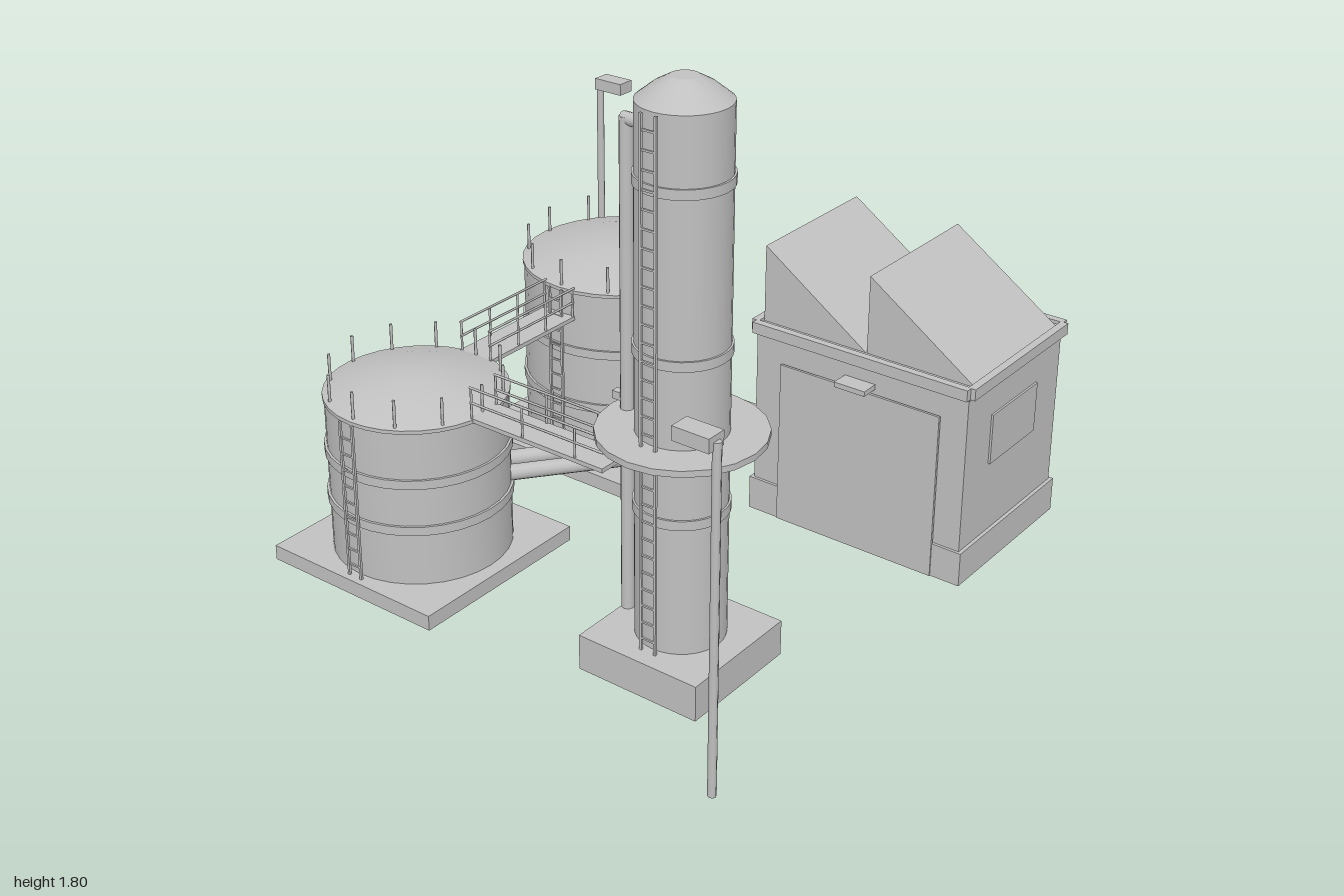
import * as THREE from 'three';
import { toCreasedNormals } from 'three/addons/utils/BufferGeometryUtils.js';

const concreteGrey = new THREE.MeshStandardMaterial({ color: 0xc0c0c0 });
concreteGrey.name = 'plantGrey';

function add(parent, name, geometry, x = 0, y = 0, z = 0) {
  const mesh = new THREE.Mesh(geometry, concreteGrey);
  mesh.name = name;
  mesh.position.set(x, y, z);
  parent.add(mesh);
  return mesh;
}

function group(parent, name, x = 0, y = 0, z = 0) {
  const g = new THREE.Group();
  g.name = name;
  g.position.set(x, y, z);
  parent.add(g);
  return g;
}

// Box given by its limits on each axis
function box(parent, name, x0, x1, y0, y1, z0, z1) {
  return add(parent, name, new THREE.BoxGeometry(x1 - x0, y1 - y0, z1 - z0),
    (x0 + x1) / 2, (y0 + y1) / 2, (z0 + z1) / 2);
}

// Round bar between two points
function bar(parent, name, a, b, r, sides = 8) {
  const from = new THREE.Vector3(...a), to = new THREE.Vector3(...b);
  const dir = to.clone().sub(from);
  const mesh = add(parent, name, new THREE.CylinderGeometry(r, r, dir.length(), sides));
  mesh.position.copy(from).add(to).multiplyScalar(0.5);
  mesh.quaternion.setFromUnitVectors(new THREE.Vector3(0, 1, 0), dir.normalize());
  return mesh;
}

function lathe(parent, name, points, sides) {
  const geo = new THREE.LatheGeometry(points.map(p => new THREE.Vector2(...p)), sides);
  return add(parent, name, toCreasedNormals(geo, 0.5));
}

function band(parent, r, y, h, sides) {
  add(parent, 'band', new THREE.CylinderGeometry(r, r, h, sides), 0, y, 0);
}

// Ladder on the +z side of a round vessel
function ladder(parent, z, y0, y1) {
  const g = group(parent, 'ladder', 0, 0, z);
  for (const s of [-1, 1]) box(g, 'ladderRail', s * 0.025 - 0.004, s * 0.025 + 0.004, y0, y1, -0.004, 0.004);
  for (let y = y0 + 0.04; y < y1; y += 0.055) box(g, 'rung', -0.025, 0.025, y - 0.003, y + 0.003, -0.003, 0.003);
}

// Storage tank on a square pad, with a shallow dome and a ring of posts
function tank(parent, name, x, z, r, top, padHalf, bands) {
  const g = group(parent, name, x, 0, z);
  box(g, 'pad', -padHalf, padHalf, 0, 0.05, -padHalf, padHalf);
  lathe(g, 'shell', [[r, 0.05], [r, top], [r * 0.62, top + 0.036], [r * 0.25, top + 0.057], [0, top + 0.06]], 32);
  for (const y of bands) band(g, r + 0.008, y, 0.03, 32);
  band(g, r + 0.005, top - 0.006, 0.012, 32);
  for (let i = 0; i < 12; i++) {
    const a = i * Math.PI / 6, pr = r - 0.012;
    bar(g, 'post', [pr * Math.cos(a), top - 0.01, pr * Math.sin(a)], [pr * Math.cos(a), top + 0.093, pr * Math.sin(a)], 0.005, 6);
  }
  ladder(g, r + 0.02, 0.05, top);
  return g;
}

// Walkway along local x, with rails on both sides
function walkway(parent, name, length, width, spacing) {
  const g = group(parent, name);
  const h = length / 2, w = width / 2;
  box(g, 'deck', -h, h, 0.572, 0.586, -w, w);
  for (const s of [-1, 1]) {
    const z = s * (w - 0.005);
    for (const y of [0.635, 0.685]) bar(g, 'handrail', [-h, y, z], [h, y, z], 0.004, 6);
    for (let x = -h + 0.005; x <= h; x += spacing) bar(g, 'railPost', [x, 0.58, z], [x, 0.685, z], 0.004, 6);
  }
  return g;
}

function column(parent) {
  const g = group(parent, 'column', 0.53, 0, 0.525);
  box(g, 'base', -0.21, 0.21, 0, 0.115, -0.21, 0.21);
  lathe(g, 'columnShell', [[0.135, 0.115], [0.135, 1.74], [0.085, 1.78], [0.04, 1.805], [0, 1.805]], 32);
  for (const y of [0.54, 1.03, 1.525]) band(g, 0.141, y, 0.03, 32);
  add(g, 'platform', toCreasedNormals(new THREE.CylinderGeometry(0.248, 0.248, 0.02, 20), 0.5), 0, 0.764, 0);
  ladder(g, 0.155, 0.115, 1.74);
  // Downpipe with outlet
  bar(g, 'downpipe', [-0.195, 0.115, 0], [-0.195, 1.65, 0], 0.02, 12);
  bar(g, 'outletPipe', [-0.205, 1.643, 0], [-0.12, 1.643, 0], 0.019, 12);
  box(g, 'valve', -0.24, -0.19, 0.795, 0.82, -0.012, 0.012);
}

function building(parent) {
  const g = group(parent, 'building', 0.57, 0, -0.625);
  box(g, 'plinth', -0.397, 0.397, 0, 0.115, -0.3, 0.3);
  box(g, 'walls', -0.385, 0.385, 0.115, 0.65, -0.29, 0.29);
  box(g, 'roofSlab', -0.39, 0.39, 0.64, 0.672, -0.295, 0.295);
  // Cornice strips
  for (const s of [-1, 1]) {
    const zc = s * 0.3, xc = s * 0.393;
    box(g, 'cornice', -0.39, 0.39, 0.645, 0.683, zc - 0.013, zc + 0.013);
    box(g, 'cornice', xc - 0.013, xc + 0.013, 0.645, 0.683, -0.292, 0.292);
  }
  // Sawtooth roof
  const tooth = new THREE.Shape([[0, 0], [0.385, 0], [0, 0.262]].map(p => new THREE.Vector2(...p)));
  const toothGeo = new THREE.ExtrudeGeometry(tooth, { depth: 0.523, bevelEnabled: false });
  for (const x of [-0.38, 0.005]) add(g, 'sawtoothRoof', toothGeo, x, 0.67, -0.262);
  // Door and its hood
  box(g, 'door', -0.285, 0.295, 0.0, 0.56, 0.295, 0.304);
  box(g, 'hood', -0.053, 0.058, 0.574, 0.591, 0.285, 0.352);
  // Windows
  for (const x of [-0.122, 0.122]) box(g, 'backWindow', x - 0.12, x + 0.12, 0.36, 0.53, -0.298, -0.289);
  for (const s of [-1, 1]) {
    const x = s * 0.388;
    box(g, 'sideWindow', x - 0.004, x + 0.004, 0.36, 0.53, -0.14, 0.14);
  }
}

// Pair of pipes running from the front tank to the building
function pipeRun(parent) {
  const g = group(parent, 'pipeRun');
  bar(g, 'pipe', [-0.36, 0.272, 0.3], [0.16, 0.272, -0.37], 0.026, 12);
  bar(g, 'pipe', [-0.29, 0.272, 0.36], [0.23, 0.272, -0.305], 0.026, 12);
  const stand = group(g, 'pipeStand', -0.065, 0, -0.02);
  stand.rotation.y = -0.655;
  box(stand, 'crossbar', -0.092, 0.092, 0.225, 0.242, -0.008, 0.008);
  for (const x of [-0.083, 0.083]) box(stand, 'standLeg', x - 0.007, x + 0.007, 0, 0.23, -0.007, 0.007);
}

function lampPost(parent, s) {
  const g = group(parent, 'lampPost', s * 0.97, 0, s * 0.97);
  bar(g, 'lampPole', [0, 0, 0], [0, 1.07, 0], 0.013, 8);
  const head = box(g, 'lampHead', -0.058, 0.058, 1.046, 1.088, -0.032, 0.032);
  head.position.x = -s * 0.06;
}

export function createModel() {
  const model = new THREE.Group();
  model.name = 'processPlant';
  tank(model, 'frontTank', -0.49, 0.53, 0.285, 0.583, 0.33, [0.24, 0.4]);
  tank(model, 'rearTank', -0.485, -0.485, 0.335, 0.68, 0.375, [0.26, 0.46]);
  column(model);
  building(model);
  pipeRun(model);
  const sideWalk = walkway(model, 'sideWalkway', 0.51, 0.12, 0.2);
  sideWalk.position.set(0.035, 0, 0.525);
  const backWalk = walkway(model, 'backWalkway', 0.42, 0.13, 0.135);
  backWalk.position.set(-0.49, 0, 0.05);
  backWalk.rotation.y = Math.PI / 2;
  for (const s of [-1, 1]) lampPost(model, s);
  return model;
}
